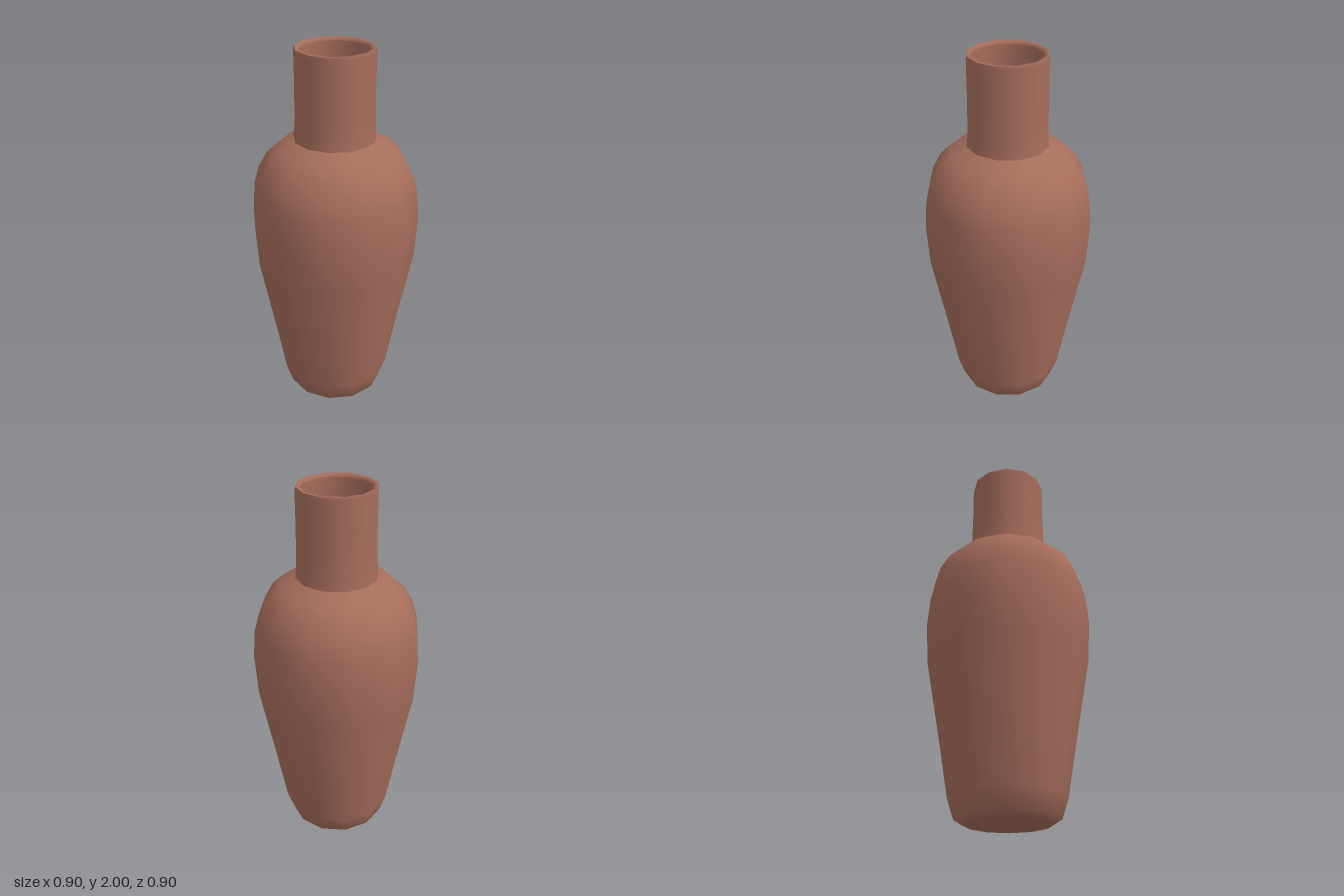
import * as THREE from 'three';

const SIDES = 12;

export function createModel() {
  const model = new THREE.Group();
  model.name = 'vase';
  const clay = new THREE.MeshStandardMaterial({ color: 0xa66d5b });
  clay.name = 'terracotta';
  const grey = new THREE.MeshStandardMaterial({ color: 0x696969, side: THREE.DoubleSide });
  grey.name = 'grey filling';

  // Each section is turned from a [radius, height] profile; section joins stay sharp
  const turn = (name, profile) => {
    const points = profile.map(([r, y]) => new THREE.Vector2(r, y));
    const mesh = new THREE.Mesh(new THREE.LatheGeometry(points, SIDES), clay);
    mesh.name = name;
    model.add(mesh);
  };

  turn('base', [[0, 0], [0.225, 0]]);
  turn('body', [
    [0.225, 0], [0.268, 0.025], [0.303, 0.13], [0.353, 0.42], [0.435, 0.87],
    [0.448, 1.1], [0.436, 1.25], [0.41, 1.345], [0.36, 1.435], [0.3, 1.49], [0.215, 1.535],
  ]);
  turn('neck', [[0.215, 1.535], [0.208, 1.6], [0.205, 1.8], [0.205, 1.985], [0.202, 2]]);
  turn('rim', [[0.202, 2], [0.185, 2], [0.18, 1.985]]);
  turn('innerWall', [
    [0.18, 1.985], [0.183, 1.54], [0.28, 1.46], [0.385, 1.33], [0.423, 1.1],
    [0.41, 0.87], [0.328, 0.42], [0.278, 0.13], [0.22, 0.03], [0, 0.03],
  ]);

  // Two plates meeting in a shallow valley inside the body
  const tilt = 0.36;
  for (const [side, name] of [[-1, 'fillingRight'], [1, 'fillingLeft']]) {
    const length = 0.24;
    const plate = new THREE.Mesh(new THREE.PlaneGeometry(length, 0.314).rotateX(-Math.PI / 2), grey);
    plate.rotation.z = side * tilt;
    plate.position.set(
      0.03 + side * Math.cos(tilt) * length / 2,
      0.9 + Math.sin(tilt) * length / 2,
      0
    );
    plate.name = name;
    model.add(plate);
  }
  return model;
}
